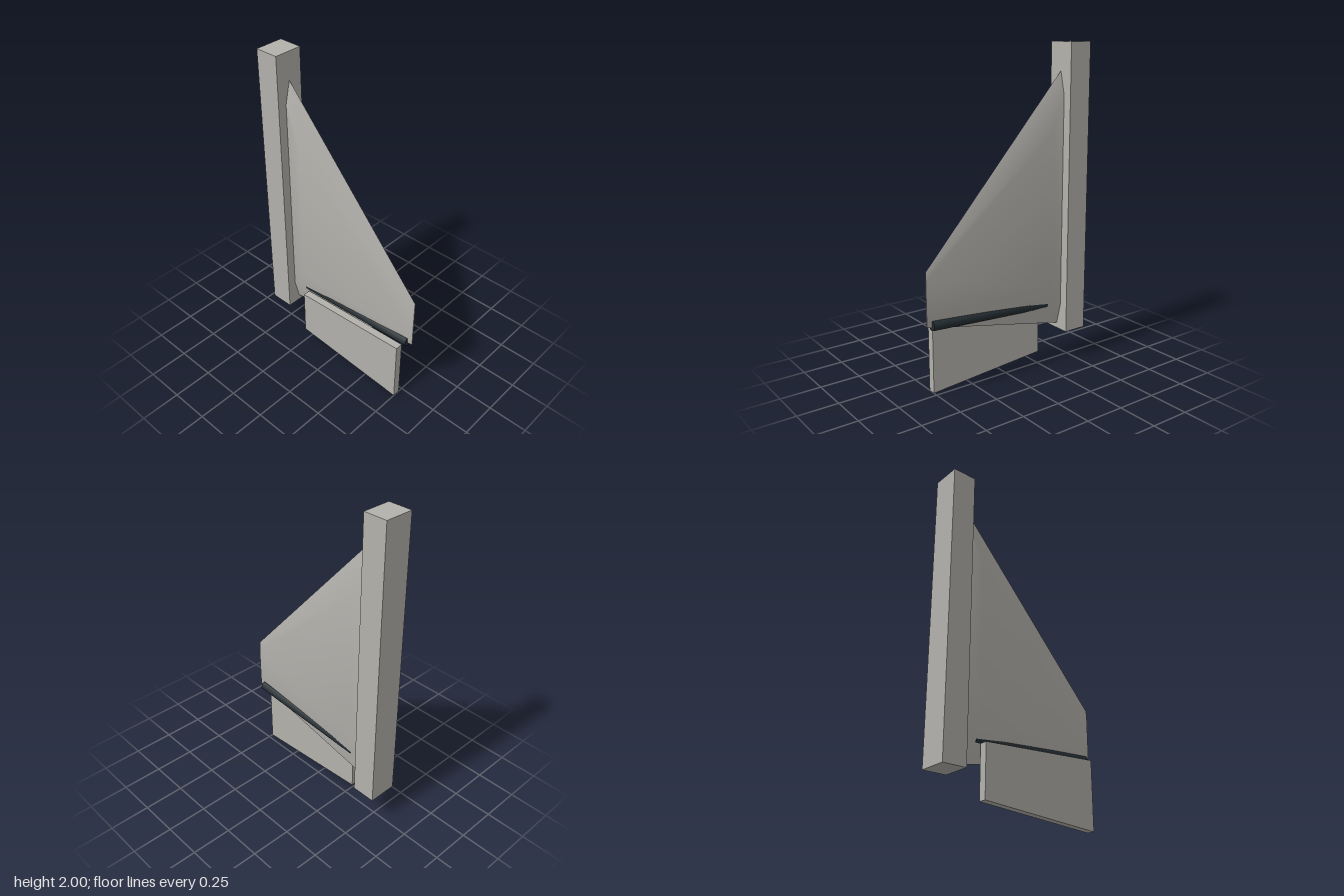
import * as THREE from 'three';
import { toCreasedNormals } from 'three/addons/utils/BufferGeometryUtils.js';

export function createModel() {
  const group = new THREE.Group();
  const grey = new THREE.MeshStandardMaterial({ color: 0xb3b1ac });
  grey.name = 'warm grey';
  const dark = new THREE.MeshStandardMaterial({ color: 0x232c31 });
  dark.name = 'dark steel';

  const add = (name, geometry, material) => {
    const mesh = new THREE.Mesh(geometry, material);
    mesh.name = name;
    group.add(mesh);
    return mesh;
  };

  // Square upright post along the root
  add('post', new THREE.BoxGeometry(0.15, 1.8, 0.18), grey).position.set(-0.485, 1.1, 0);

  // Tapered fin lofted through hexagonal sections:
  // [x, leading edge y, upper shoulder y, lower shoulder y, trailing edge y, half thickness]
  const sections = [
    [-0.41, 1.83, 1.69, 0.37, 0.235, 0.033],
    [-0.31, 1.72, 1.48, 0.5, 0.255, 0.052],
    [0.555, 0.76, 0.705, 0.485, 0.43, 0.003],
  ];
  const rings = sections.map(([x, top, high, low, bottom, t]) => [
    [x, top, 0], [x, high, t], [x, low, t],
    [x, bottom, 0], [x, low, -t], [x, high, -t],
  ]);
  const positions = [];
  const tri = (a, b, c) => positions.push(...a, ...b, ...c);
  for (let s = 0; s < rings.length - 1; s++) {
    for (let i = 0; i < 6; i++) {
      const j = (i + 1) % 6;
      const [a, b, c, d] = [rings[s][i], rings[s][j], rings[s + 1][j], rings[s + 1][i]];
      tri(a, b, c);
      tri(a, c, d);
    }
  }
  // End caps
  const root = rings[0], tip = rings[rings.length - 1];
  for (let i = 1; i < 5; i++) {
    tri(root[0], root[i + 1], root[i]);
    tri(tip[0], tip[i], tip[i + 1]);
  }
  const fin = new THREE.BufferGeometry();
  fin.setAttribute('position', new THREE.Float32BufferAttribute(positions, 3));
  add('fin', toCreasedNormals(fin, 0.5), grey);

  // Hinge rod near the trailing edge
  const start = new THREE.Vector3(-0.31, 0.387, 0);
  const end = new THREE.Vector3(0.522, 0.435, 0);
  const axis = end.clone().sub(start);
  const rod = add('hingeRod', new THREE.CylinderGeometry(0.03, 0.03, axis.length(), 12), dark);
  rod.position.copy(start).add(end).multiplyScalar(0.5);
  rod.quaternion.setFromUnitVectors(new THREE.Vector3(0, 1, 0), axis.normalize());

  // Flat control flap hanging in front of the rod
  const outline = new THREE.Shape([
    [-0.28, 0.058], [0.5, 0], [0.5, 0.418], [-0.28, 0.37],
  ].map(([x, y]) => new THREE.Vector2(x, y)));
  const flap = new THREE.ExtrudeGeometry(outline, { depth: 0.048, bevelEnabled: false });
  add('flap', flap, grey).position.z = 0.03;

  return group;
}
